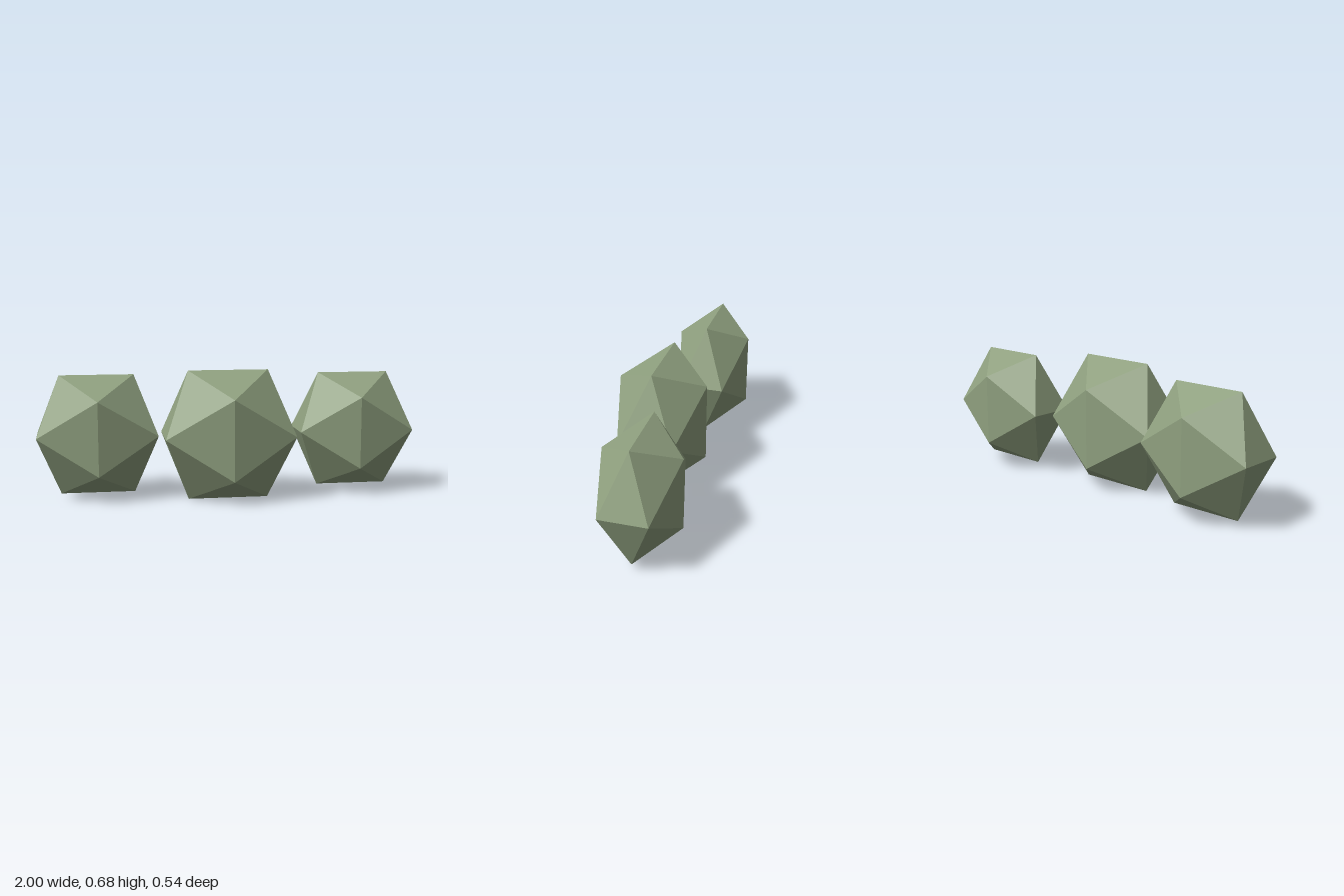
import * as THREE from 'three';

// Half height of a unit icosahedron along each axis
const HALF = 0.85065;

export function createModel() {
  const model = new THREE.Group();
  const leafGreen = new THREE.MeshStandardMaterial({ color: 0x8fa07f, flatShading: true });
  leafGreen.name = 'leafGreen';

  // A faceted clump: an icosahedron flattened from front to back
  const addClump = (name, center, halfSize) => {
    const geometry = new THREE.IcosahedronGeometry(1, 0);
    geometry.scale(...halfSize.map((h) => h / HALF));
    const clump = new THREE.Mesh(geometry, leafGreen);
    clump.name = name;
    clump.position.set(...center);
    model.add(clump);
  };

  // Large clump in the middle, two smaller ones set back at the sides
  addClump('middleClump', [-0.005, 0.343, 0.035], [0.341, 0.341, 0.235]);
  addClump('rightClump', [-0.686, 0.344, -0.0715], [0.314, 0.314, 0.1985]);
  addClump('leftClump', [0.6925, 0.345, -0.0715], [0.3075, 0.3075, 0.1985]);

  return model;
}
